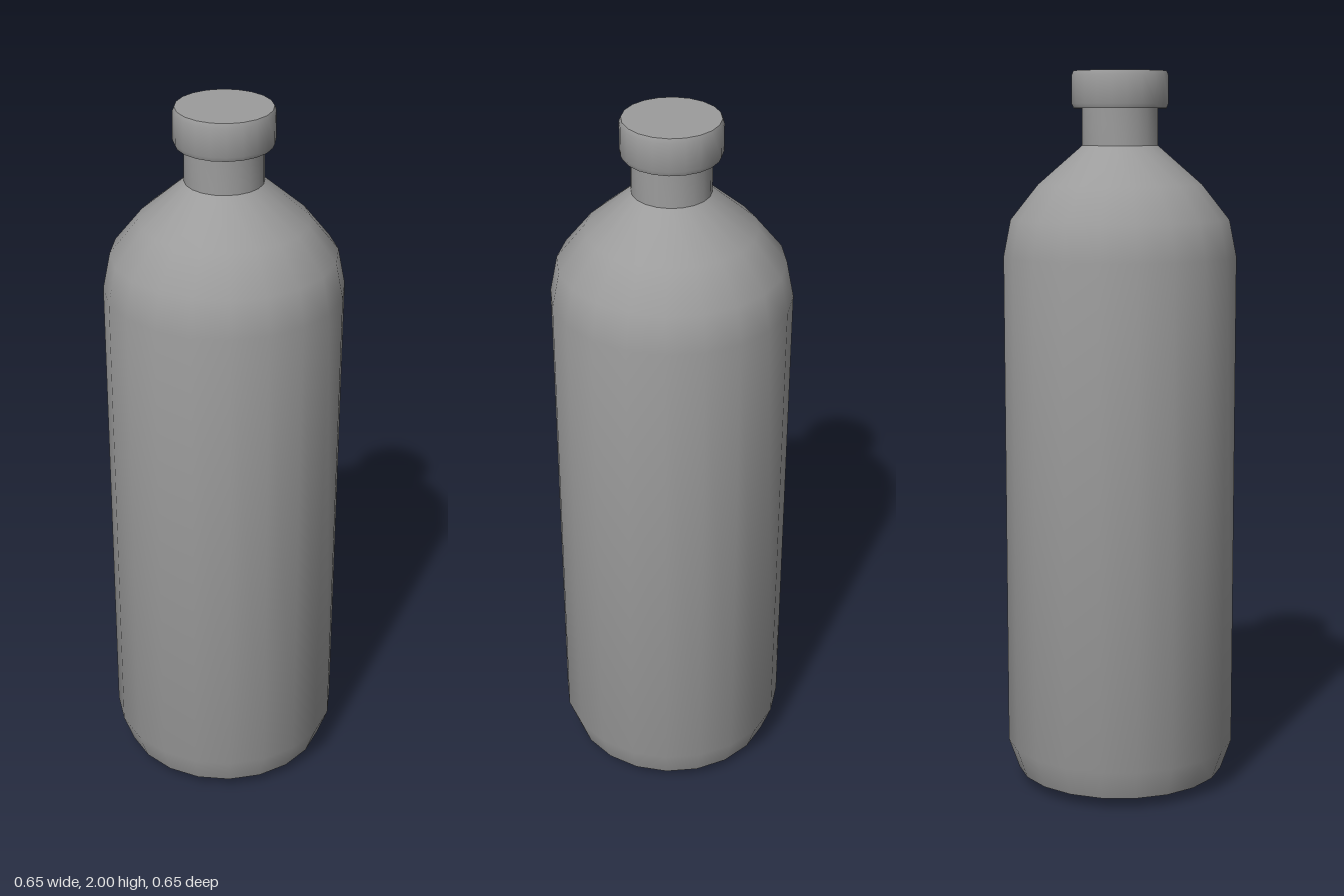
import * as THREE from 'three';
import { toCreasedNormals } from 'three/addons/utils/BufferGeometryUtils.js';

const SIDES = 20;

// Revolves a profile of [radius, height] pairs listed from bottom to top.
function turned(name, profile) {
  const points = profile.map(([r, y]) => new THREE.Vector2(r, y));
  const geometry = toCreasedNormals(new THREE.LatheGeometry(points, SIDES), 0.65);
  const material = new THREE.MeshStandardMaterial({ color: 0x9c9c9c, side: THREE.DoubleSide });
  const mesh = new THREE.Mesh(geometry, material);
  mesh.name = name;
  return mesh;
}

export function createModel() {
  const bottle = new THREE.Group();
  bottle.name = 'bottle';

  // Base, straight wall and rounded shoulder
  bottle.add(turned('body', [
    [0, 0], [0.205, 0], [0.293, 0.031], [0.323, 0.116],
    [0.323, 1.5], [0.303, 1.6], [0.227, 1.695], [0.105, 1.8],
  ]));

  // Narrow neck
  bottle.add(turned('neck', [[0.105, 1.8], [0.105, 1.9]]));

  // Closed cap with small bevels on both rims
  bottle.add(turned('cap', [
    [0, 1.9], [0.128, 1.9], [0.133, 1.912],
    [0.133, 1.988], [0.128, 2], [0, 2],
  ]));

  return bottle;
}
